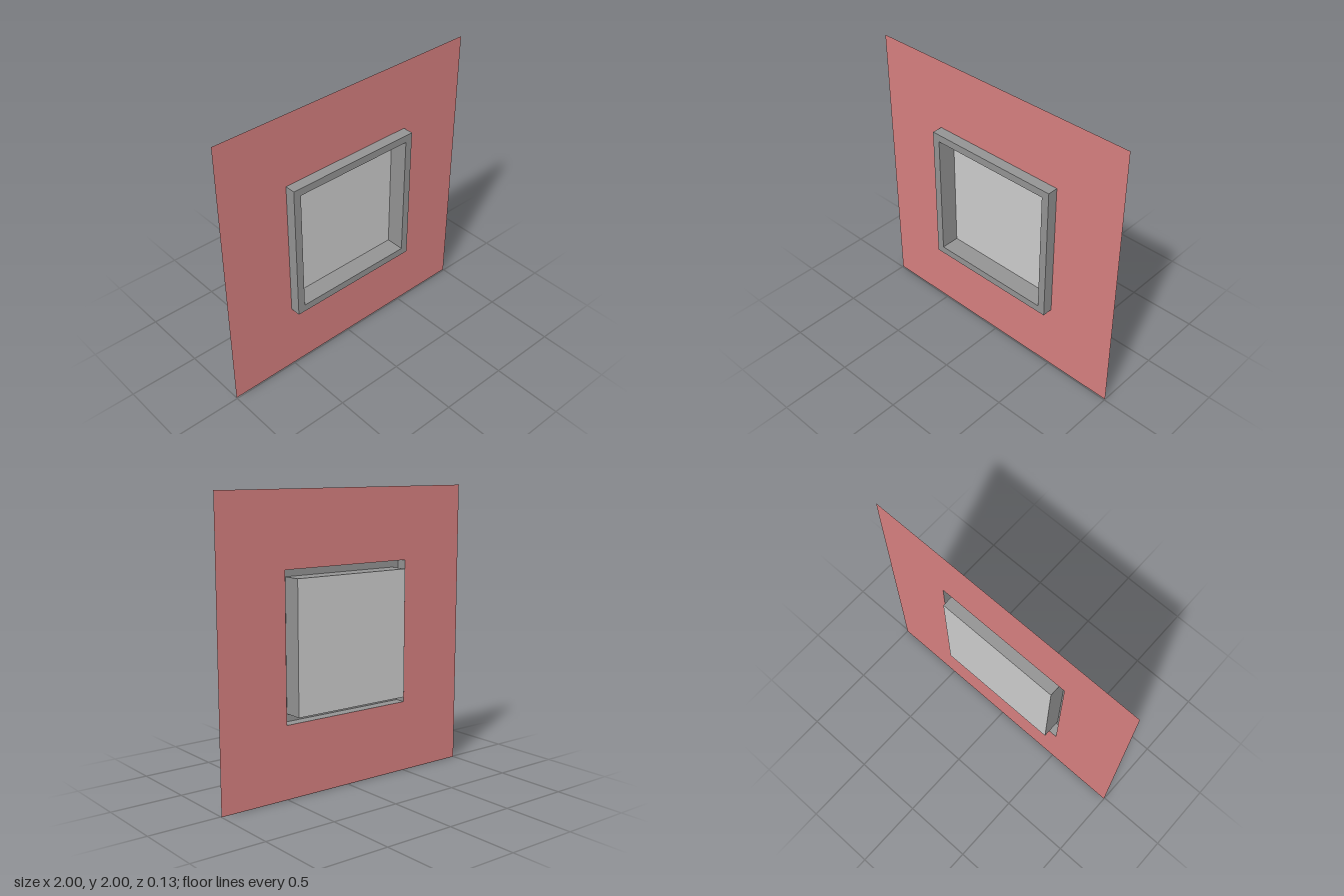
import * as THREE from 'three';

const OUTER = 0.5;      // half size of the wall opening and frame
const INNER = 0.447;    // half size of the recess
const FRONT = 0.067, WALL_Z = -0.008, BACK = -0.067;

const material = (color) =>
  new THREE.MeshStandardMaterial({ color, flatShading: true, side: THREE.DoubleSide });

function addPart(group, name, geometry, color, z = 0) {
  const mesh = new THREE.Mesh(geometry, material(color));
  mesh.name = name;
  mesh.position.z = z;
  group.add(mesh);
}

// Adds a centred square to a shape or path
function square(path, h) {
  path.moveTo(-h, -h);
  path.lineTo(h, -h);
  path.lineTo(h, h);
  path.lineTo(-h, h);
  path.closePath();
  return path;
}

export function createModel() {
  const group = new THREE.Group();
  group.name = 'windowWall';

  const window = new THREE.Group();
  window.name = 'window';
  window.position.y = 1;
  group.add(window);

  // Thin wall sheet with a square opening
  const wallShape = square(new THREE.Shape(), 1);
  wallShape.holes.push(square(new THREE.Path(), OUTER));
  const wall = new THREE.ShapeGeometry(wallShape);
  wall.translate(0, 1, 0);
  addPart(group, 'wall', wall, 0xd57f7f, WALL_Z);

  // Frame: outer rim, front border and recess sides, swept around a square
  const profile = [[OUTER, WALL_Z], [OUTER, FRONT], [INNER, FRONT], [INNER, BACK]]
    .map(([h, z]) => new THREE.Vector2(h * Math.SQRT2, z));
  const frame = new THREE.LatheGeometry(profile, 4);
  frame.rotateY(Math.PI / 4);
  frame.rotateX(Math.PI / 2);
  addPart(window, 'frame', frame, 0x939393);

  // Pane closing the back of the recess
  addPart(window, 'pane', new THREE.PlaneGeometry(2 * INNER, 2 * INNER), 0xcccccc, BACK);

  return group;
}
